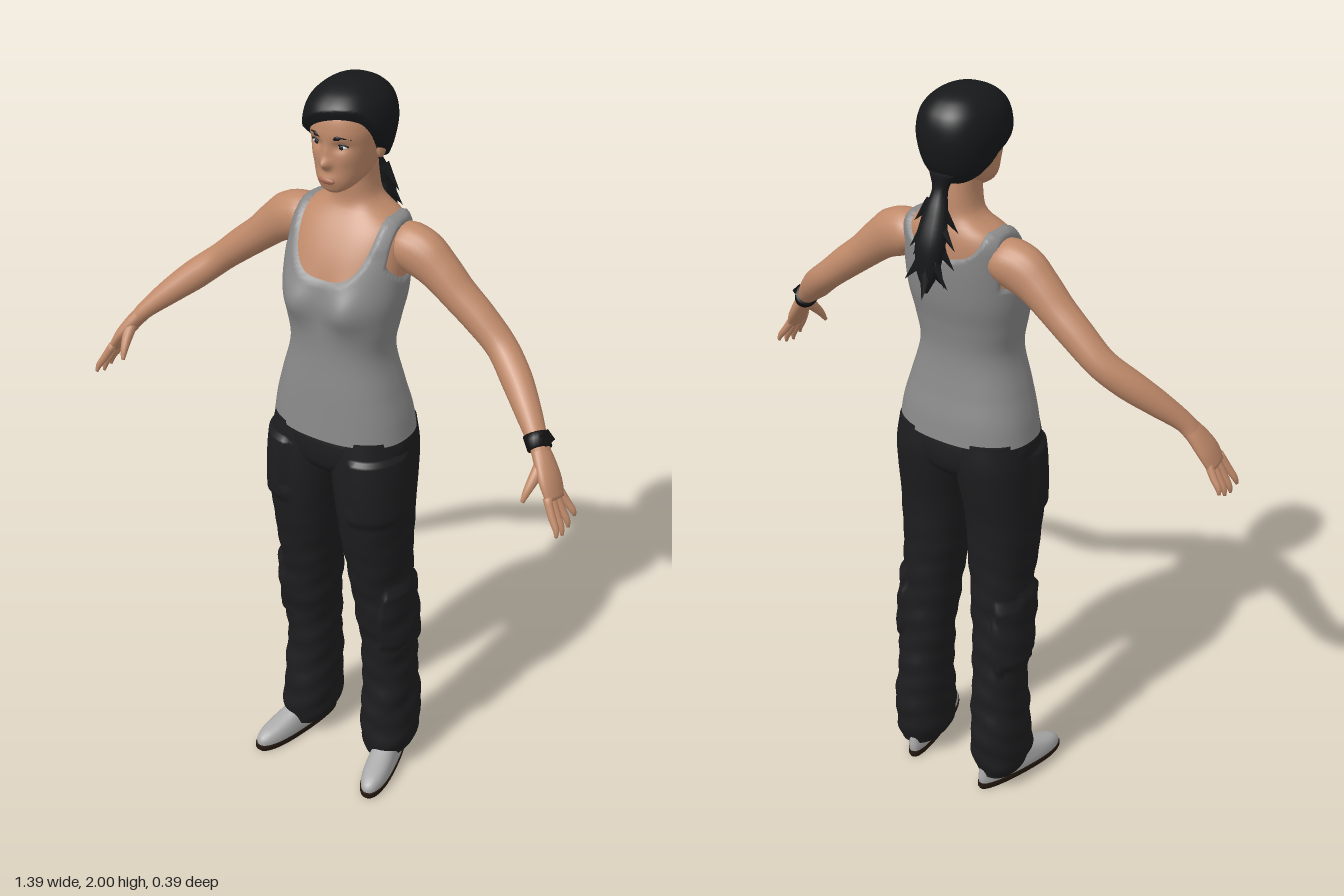
import * as THREE from 'three';

const mat = (name, color, side = THREE.FrontSide) => {
  const m = new THREE.MeshStandardMaterial({ color, side });
  m.name = name;
  return m;
};
const clamp = THREE.MathUtils.clamp;
const bell = (a, wa, b, wb) => Math.exp(-((a / wa) ** 2) - (b / wb) ** 2);

// Closed skin over rings of points; quads whose corners are all hidden are left out.
function skinRings(rows, cols, point) {
  const pos = [], hide = [], idx = [];
  for (let i = 0; i <= rows; i++)
    for (let j = 0; j < cols; j++) {
      const p = point(i / rows, (j / cols) * Math.PI * 2);
      pos.push(p.x, p.y, p.z);
      hide.push(!!p.hide);
    }
  for (let i = 0; i < rows; i++)
    for (let j = 0; j < cols; j++) {
      const a = i * cols + j, b = i * cols + ((j + 1) % cols), c = a + cols, d = b + cols;
      if (!(hide[a] && hide[b] && hide[c] && hide[d])) idx.push(a, c, b, b, c, d);
    }
  for (const row of [0, rows]) {
    const s = row * cols, mid = new THREE.Vector3();
    if (hide[s]) continue;
    for (let j = 0; j < cols; j++) mid.add(new THREE.Vector3().fromArray(pos, (s + j) * 3));
    mid.divideScalar(cols);
    const c = pos.push(mid.x, mid.y, mid.z) / 3 - 1;
    for (let j = 0; j < cols; j++) {
      const a = s + j, b = s + ((j + 1) % cols);
      row ? idx.push(c, b, a) : idx.push(c, a, b);
    }
  }
  const g = new THREE.BufferGeometry();
  g.setAttribute('position', new THREE.Float32BufferAttribute(pos, 3));
  g.setIndex(idx);
  g.computeVertexNormals();
  return g;
}

// Smooth value of a section table [y, left, right, back, front] at height y.
function sectionAt(s, y) {
  let i = 0;
  while (i < s.length - 2 && y > s[i + 1][0]) i++;
  const h = s[i + 1][0] - s[i][0], t = (y - s[i][0]) / h;
  const slope = (k, c) => {
    const a = s[Math.max(k - 1, 0)], b = s[Math.min(k + 1, s.length - 1)];
    return (b[c] - a[c]) / (b[0] - a[0]);
  };
  return [1, 2, 3, 4].map((c) =>
    (2 * t ** 3 - 3 * t * t + 1) * s[i][c] + (t ** 3 - 2 * t * t + t) * h * slope(i, c) +
    (3 * t * t - 2 * t ** 3) * s[i + 1][c] + (t ** 3 - t * t) * h * slope(i + 1, c));
}

// Upright loft through rounded sections, with an optional deform rule.
function loft(s, rows, cols, deform, e = 0.85) {
  const y0 = s[0][0], y1 = s[s.length - 1][0];
  return skinRings(rows, cols, (v, a) => {
    const y = y0 + ((y1 - y0) * (1 - Math.cos(v * Math.PI))) / 2;
    const [l, r, b, f] = sectionAt(s, y), c = Math.cos(a), n = Math.sin(a);
    const p = new THREE.Vector3(
      (l + r) / 2 + ((r - l) / 2) * Math.sign(c) * Math.abs(c) ** e, y,
      (b + f) / 2 + ((f - b) / 2) * Math.sign(n) * Math.abs(n) ** e);
    if (deform) deform(p);
    return p;
  });
}
const even = (s) => s.map(([y, w, b, f]) => [y, -w, w, b, f]);

// Tapered limb along points [x, y, z, thickness radius, depth radius].
function limb(pts, rows = 24, cols = 20) {
  const path = new THREE.CatmullRomCurve3(pts.map((p) => new THREE.Vector3(p[0], p[1], p[2])));
  const radii = new THREE.CatmullRomCurve3(pts.map((p) => new THREE.Vector3(p[3], p[4] ?? p[3], 0)));
  return skinRings(rows, cols, (v, a) => {
    const t = path.getTangent(v), r = radii.getPoint(v);
    const A = new THREE.Vector3(0, 0, 1).addScaledVector(t, -t.z).normalize();
    const B = A.clone().cross(t);
    return path.getPoint(v).addScaledVector(A, r.y * Math.cos(a)).addScaledVector(B, r.x * Math.sin(a));
  });
}
const ball = (x, y, z, rx, ry, rz) => new THREE.SphereGeometry(1, 20, 14).scale(rx, ry, rz).translate(x, y, z);

function mirrored(geo) {
  const g = geo.clone().scale(-1, 1, 1), ix = g.index.array;
  for (let i = 0; i < ix.length; i += 3) [ix[i], ix[i + 1]] = [ix[i + 1], ix[i]];
  g.computeVertexNormals();
  return g;
}

export function createModel() {
  const model = new THREE.Group();
  const skin = mat('skin', 0xc08a6a), grey = mat('shirt grey', 0x898989, THREE.DoubleSide);
  const black = mat('trouser black', 0x1d1d1f), hairMat = mat('hair black', 0x17181a, THREE.DoubleSide);
  const shoe = mat('shoe grey', 0xa9a9a9), soleMat = mat('sole brown', 0x24180f);
  const band = mat('wristband black', 0x111111), white = mat('eye white', 0xd8d4d0);
  const iris = mat('eye dark', 0x1e2226), lip = mat('lip', 0xa5664f);
  const add = (name, geo, m) => {
    const mesh = new THREE.Mesh(geo, m);
    mesh.name = name;
    model.add(mesh);
  };
  const pair = (name, geo, m) => {
    add('left' + name, geo, m);
    add('right' + name, mirrored(geo), m);
  };

  // Torso and neck
  const torso = even([
    [1.09, 0.182, -0.108, 0.146], [1.15, 0.172, -0.1, 0.142], [1.22, 0.153, -0.085, 0.137],
    [1.32, 0.127, -0.072, 0.128], [1.4, 0.139, -0.08, 0.128], [1.47, 0.152, -0.095, 0.128],
    [1.53, 0.154, -0.103, 0.118], [1.58, 0.152, -0.107, 0.1], [1.63, 0.147, -0.107, 0.072],
    [1.66, 0.128, -0.102, 0.05], [1.68, 0.092, -0.096, 0.035], [1.7, 0.065, -0.09, 0.029],
    [1.74, 0.053, -0.087, 0.03], [1.8, 0.05, -0.08, 0.03]]);
  const bust = (p) => {
    if (p.z > 0.02) p.z += 0.026 * bell(Math.abs(p.x) - 0.07, 0.05, p.y - 1.455, 0.055);
  };
  add('torso', loft(torso, 70, 64, bust), skin);

  // Tank top: follows the torso and dips under the skin at neckline and armholes
  add('tankTop', loft(torso, 130, 128, (p) => {
    bust(p);
    const x = Math.abs(p.x), drop = p.z > -0.03 ? 0.175 : 0.1;
    const neck = ((x / 0.107) ** 3 + (Math.max(0, 1.7 - p.y) / drop) ** 3) ** (1 / 3) - 1;
    const arm = Math.max((Math.hypot((p.y - 1.61) / 0.085, (p.z + 0.02) / 0.085) - 1) * 0.08, 0.138 - x);
    const d = Math.min(neck * 0.11, arm, (1.69 - p.y) * 2), off = clamp(d * 1.5, -0.007, 0.007);
    p.hide = d < -0.008;
    const r = Math.hypot(p.x, p.z - 0.01);
    p.x += (p.x / r) * off;
    p.z += ((p.z - 0.01) / r) * off;
    if (p.y > 1.6) p.y += off * 0.7;
  }), grey);

  // Trousers with raised pockets and soft folds
  add('trouserHips', loft(even([
    [0.97, 0.09, -0.07, 0.11], [1.0, 0.15, -0.1, 0.138], [1.04, 0.186, -0.11, 0.148],
    [1.08, 0.187, -0.108, 0.148], [1.105, 0.178, -0.102, 0.14]]), 16, 64), black);
  const leg = [
    [0.045, 0.078, 0.185, -0.09, 0.07], [0.09, 0.06, 0.2, -0.103, 0.085], [0.2, 0.058, 0.198, -0.108, 0.078],
    [0.32, 0.057, 0.19, -0.098, 0.07], [0.42, 0.053, 0.191, -0.09, 0.073], [0.52, 0.045, 0.187, -0.084, 0.09],
    [0.63, 0.035, 0.184, -0.08, 0.105], [0.75, 0.022, 0.189, -0.08, 0.128], [0.86, 0.012, 0.193, -0.085, 0.145],
    [0.95, 0, 0.193, -0.1, 0.15], [1.03, -0.01, 0.19, -0.11, 0.147], [1.1, -0.01, 0.18, -0.104, 0.138]];
  pair('TrouserLeg', loft(leg, 110, 64, (p) => {
    const cx = 0.12, cz = 0.01, r = Math.hypot(p.x - cx, p.z - cz);
    const slant = p.y - 0.15 * p.z;
    const cargo = p.x > 0.145 && slant > 0.42 && slant < 0.62 && Math.abs(p.z) < 0.085;
    const hip = p.x > 0.1 && p.z > 0.03 && p.y > 0.86 && p.y < 1.05;
    const low = clamp((0.9 - p.y) * 3, 0, 1);
    const off = (cargo ? 0.012 : 0) + (hip ? 0.01 : 0) +
      low * 0.0035 * Math.sin(p.y * 62 + p.z * 28) * Math.sin(p.y * 23 + p.x * 30);
    p.x += ((p.x - cx) / r) * off;
    p.z += ((p.z - cz) / r) * off;
  }), black);

  // Shoes, toes turned slightly out
  const toe = (p) => { p.x *= 0.85 + 0.9 * clamp(p.z, -0.05, 0.15); };
  const place = (g) => g.rotateY(0.22).translate(0.138, 0, 0);
  pair('Shoe', place(loft([
    [0.016, -0.04, 0.04, -0.098, 0.195], [0.035, -0.041, 0.041, -0.1, 0.193], [0.052, -0.039, 0.039, -0.098, 0.172],
    [0.068, -0.037, 0.037, -0.095, 0.12], [0.09, -0.036, 0.036, -0.09, 0.06], [0.11, -0.035, 0.035, -0.085, 0.04]],
  20, 40, toe)), shoe);
  pair('Sole', place(loft([
    [0, -0.038, 0.038, -0.098, 0.194], [0.008, -0.042, 0.042, -0.102, 0.2], [0.02, -0.042, 0.042, -0.102, 0.2]],
  6, 40, toe)), soleMat);

  // Arms and hands
  pair('Arm', limb([
    [0.11, 1.595, -0.03, 0.04, 0.05], [0.15, 1.597, -0.03, 0.06, 0.058], [0.19, 1.585, -0.03, 0.062, 0.055],
    [0.235, 1.555, -0.031, 0.053, 0.05], [0.29, 1.507, -0.032, 0.045, 0.046], [0.35, 1.458, -0.033, 0.042, 0.043],
    [0.415, 1.402, -0.028, 0.038, 0.04], [0.47, 1.355, 0, 0.039, 0.039], [0.53, 1.302, 0.042, 0.033, 0.034],
    [0.585, 1.248, 0.083, 0.023, 0.027], [0.605, 1.222, 0.094, 0.02, 0.028]], 48), skin);
  pair('Palm', limb([
    [0.592, 1.24, 0.088, 0.02, 0.026], [0.615, 1.21, 0.1, 0.02, 0.034], [0.638, 1.175, 0.112, 0.018, 0.04],
    [0.658, 1.138, 0.121, 0.013, 0.037]], 14), skin);
  for (let i = 0; i < 4; i++) {
    const z = 0.094 + i * 0.018, long = [0.062, 0.078, 0.084, 0.074][i], dz = (i - 1) * 0.006;
    pair('Finger' + (i + 1), limb([
      [0.65, 1.152, z, 0.011], [0.672, 1.145 - long * 0.45, z + dz, 0.01],
      [0.688, 1.145 - long * 0.8, z + dz * 1.6, 0.008], [0.692, 1.143 - long, z + dz * 2, 0.004]], 10, 10), skin);
  }
  pair('Thumb', limb([
    [0.61, 1.213, 0.112, 0.016], [0.607, 1.185, 0.138, 0.014], [0.602, 1.158, 0.16, 0.01],
    [0.598, 1.135, 0.173, 0.005]], 10, 12), skin);

  // Wristband on the left arm
  add('wristband', limb([[0.572, 1.262, 0.073, 0.03, 0.033], [0.594, 1.238, 0.09, 0.028, 0.032]], 2, 24), band);
  add('wristbandFace', new THREE.BoxGeometry(0.03, 0.012, 0.03).rotateZ(-0.8).translate(0.605, 1.267, 0.08), band);

  // Head with sculpted face
  const head = even([
    [1.742, 0.022, 0.03, 0.082], [1.752, 0.038, 0.0, 0.092], [1.775, 0.056, -0.05, 0.097],
    [1.82, 0.071, -0.09, 0.097], [1.86, 0.08, -0.106, 0.099], [1.9, 0.085, -0.112, 0.102],
    [1.94, 0.077, -0.105, 0.092], [1.965, 0.058, -0.083, 0.067], [1.978, 0.035, -0.055, 0.035], [1.983, 0.008, -0.02, 0]]);
  add('head', loft(head, 90, 96, (p) => {
    if (p.z < 0.03) return;
    const x = Math.abs(p.x);
    p.z += 0.021 * bell(x, 0.013, p.y - 1.822, 0.014) + 0.009 * bell(x, 0.01, p.y - 1.848, 0.022) +
      0.006 * bell(x, 0.025, p.y - 1.78, 0.014) - 0.009 * bell(x - 0.034, 0.02, p.y - 1.865, 0.013) +
      0.003 * bell(x - 0.045, 0.02, p.y - 1.83, 0.02);
  }), skin);
  pair('Ear', ball(0.079, 1.842, -0.015, 0.01, 0.028, 0.017), skin);
  pair('Eye', ball(0.034, 1.865, 0.082, 0.014, 0.0065, 0.007), white);
  pair('Iris', ball(0.034, 1.865, 0.0875, 0.006, 0.006, 0.003), iris);
  pair('Eyelid', limb([[0.019, 1.866, 0.087, 0.002], [0.034, 1.873, 0.088, 0.0025], [0.051, 1.867, 0.08, 0.002]], 8, 8), iris);
  pair('Eyebrow', limb([[0.016, 1.885, 0.097, 0.003], [0.036, 1.892, 0.094, 0.003], [0.057, 1.886, 0.079, 0.002]], 8, 8), hairMat);
  add('lips', ball(0, 1.778, 0.099, 0.023, 0.008, 0.007), lip);

  // Hair cap: rises from the scalp above a slanted, swept hairline
  add('hair', loft(head, 90, 96, (p) => {
    const line = 1.84 + 0.9 * p.z + 0.42 * p.x * clamp(p.z / 0.06, 0, 1);
    const d = p.y - line, off = clamp(d * 0.9, -0.006, 0.018);
    p.hide = d < -0.008;
    p.addScaledVector(new THREE.Vector3(p.x, p.y - 1.87, p.z + 0.01).normalize(), off);
  }), hairMat);

  // Ponytail with ragged tufts
  add('ponytail', limb([
    [0, 1.81, -0.095, 0.035, 0.025], [0, 1.77, -0.105, 0.02, 0.018], [0, 1.72, -0.122, 0.032, 0.025],
    [0, 1.65, -0.145, 0.04, 0.03], [0, 1.58, -0.158, 0.03, 0.022], [0, 1.525, -0.165, 0.004, 0.004]], 24, 14), hairMat);
  for (let i = 0; i < 16; i++) {
    const a = i * 2.4, y = 1.73 - i * 0.0105, z = -0.12 - (1.73 - y) * 0.27;
    const out = new THREE.Vector3(Math.cos(a) * 0.8, -1, Math.sin(a) * 0.45).normalize();
    const tuft = new THREE.ConeGeometry(0.016, 0.075, 5);
    tuft.applyQuaternion(new THREE.Quaternion().setFromUnitVectors(new THREE.Vector3(0, 1, 0), out));
    tuft.translate(Math.cos(a) * 0.03 + out.x * 0.02, y - 0.02, z + Math.sin(a) * 0.018);
    add('ponytailTuft' + (i + 1), tuft, hairMat);
  }
  return model;
}
